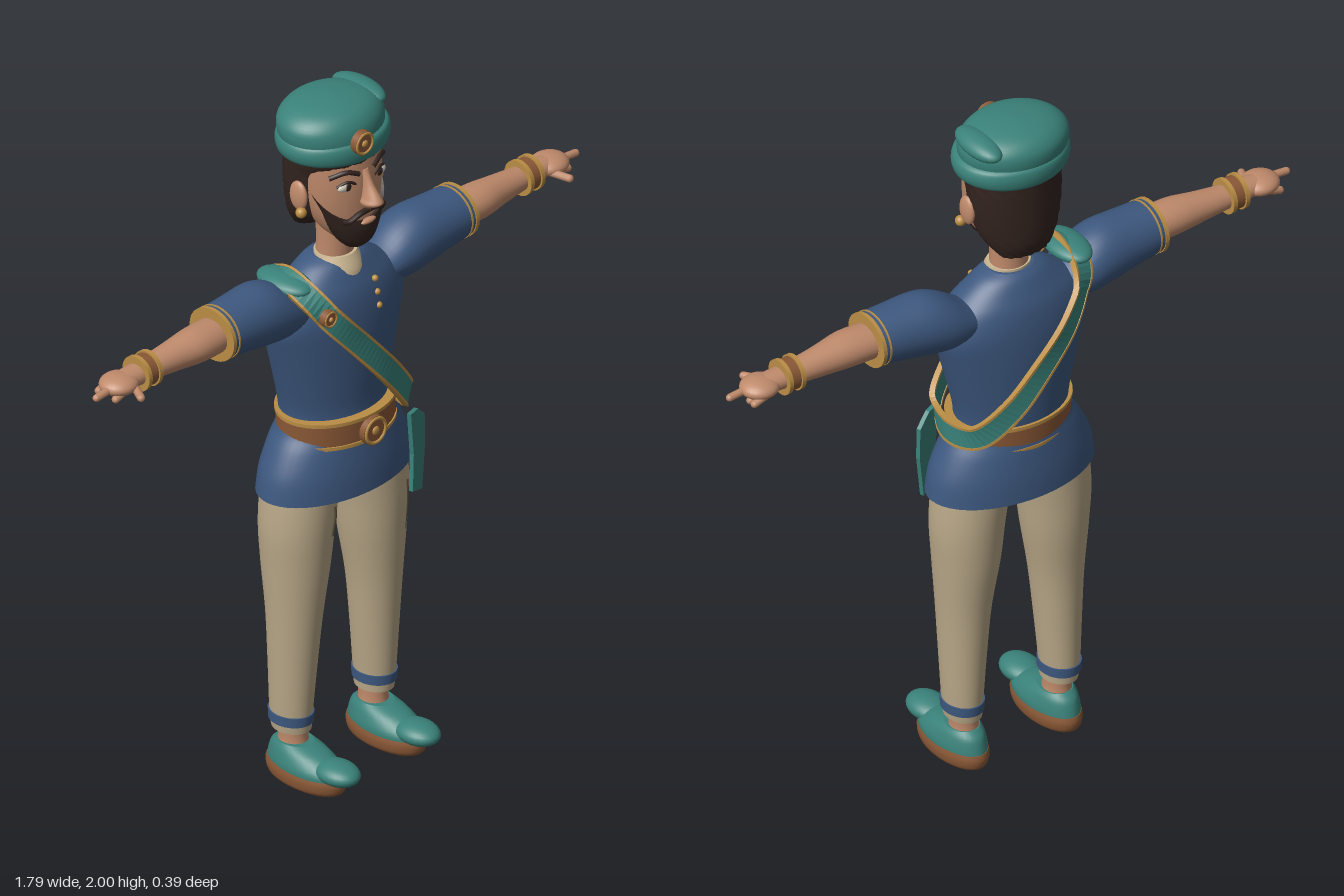
import * as THREE from 'three';

const mat = (name, color) => Object.assign(new THREE.MeshStandardMaterial({ color }), { name });
const M = {
  skin: mat('skin', 0xbf8a6b), teal: mat('teal cloth', 0x3a827a), blue: mat('blue cloth', 0x3d587f),
  tan: mat('trouser linen', 0xb9a888), brown: mat('brown leather', 0x8a5836), gold: mat('gold', 0xba8d45),
  hair: mat('dark hair', 0x33241f), cream: mat('collar cream', 0xcdb893), white: mat('eye white', 0xd8cfc0),
  seam: mat('dark seam', 0x5e553f),
};

// Smooth curve through four neighbouring values
const spline = (a, b, c, d, t) =>
  b + 0.5 * t * (c - a + t * (2 * a - 5 * b + 4 * c - d + t * (3 * (b - c) + d - a)));

// Elliptical cross-sections [y, cx, cz, rx, rz], listed upwards, skinned and capped
function loft(rows, { seg = 32, sub = 4, warp } = {}) {
  const fine = [];
  for (let i = 0; i < rows.length - 1; i++)
    for (let k = 0; k < sub; k++)
      fine.push(rows[i].map((v, j) => spline((rows[i - 1] || rows[i])[j], v, rows[i + 1][j],
        (rows[i + 2] || rows[i + 1])[j], k / sub)));
  fine.push(rows.at(-1));
  const pos = [], idx = [];
  const ring = ([y, cx, cz, rx, rz]) => {
    for (let i = 0; i < seg; i++) {
      const a = (i / seg) * Math.PI * 2;
      const p = new THREE.Vector3(cx + rx * Math.sin(a), y, cz + rz * Math.cos(a));
      if (warp) warp(p, a);
      pos.push(p.x, p.y, p.z);
    }
  };
  fine.forEach(ring);
  for (let j = 0; j < fine.length - 1; j++)
    for (let i = 0; i < seg; i++) {
      const a = j * seg + i, b = j * seg + (i + 1) % seg;
      idx.push(a, b, b + seg, a, b + seg, a + seg);
    }
  for (const [row, top] of [[fine[0], false], [fine.at(-1), true]]) {
    const s = pos.length / 3;
    ring(row);
    pos.push(row[1], row[0], row[2]);
    for (let i = 0; i < seg; i++) {
      const a = s + i, b = s + (i + 1) % seg;
      idx.push(...(top ? [a, b, s + seg] : [b, a, s + seg]));
    }
  }
  return finish(pos, idx);
}

function finish(pos, idx) {
  const g = new THREE.BufferGeometry();
  g.setAttribute('position', new THREE.Float32BufferAttribute(pos, 3));
  g.setIndex(idx);
  g.computeVertexNormals();
  return g;
}

// Loft running outward along x: rows [x, cy, cz, ry, rz]
const sideLoft = (rows, s, o) =>
  loft(rows.map(([x, cy, ...r]) => [x, -s * cy, ...r]), o).rotateZ(-s * Math.PI / 2);

const ball = (x, y, z, rx, ry = rx, rz = rx) =>
  new THREE.SphereGeometry(1, 24, 16).scale(rx, ry, rz).translate(x, y, z);

const tube = (pts, r) => new THREE.TubeGeometry(
  new THREE.CatmullRomCurve3(pts.map(p => new THREE.Vector3(...p))), 16, r, 8);

// Rounded finger between two points
function finger(a, b, r) {
  const A = new THREE.Vector3(...a), d = new THREE.Vector3(...b).sub(A);
  const q = new THREE.Quaternion().setFromUnitVectors(new THREE.Vector3(0, 1, 0), d.clone().normalize());
  return new THREE.CapsuleGeometry(r, d.length(), 5, 10).applyQuaternion(q).translate(...A.addScaledVector(d, 0.5));
}

// Closed flat band wrapped round the chest; off shifts it sideways
function band(pts, width, thick, off = 0) {
  const curve = new THREE.CatmullRomCurve3(pts.map(p => new THREE.Vector3(...p)), true);
  const n = 90, pos = [], idx = [];
  for (let i = 0; i < n; i++) {
    const p = curve.getPointAt(i / n), t = curve.getTangentAt(i / n);
    const out = new THREE.Vector3(p.x / 0.04, Math.max(0, p.y - 1.44) * 150, (p.z + 0.045) / 0.017);
    const w = new THREE.Vector3().crossVectors(out, t).normalize();
    out.crossVectors(t, w).normalize();
    for (const [u, v] of [[-1, -1], [1, -1], [1, 1], [-1, 1]]) {
      const q = p.clone().addScaledVector(w, off + u * width / 2).addScaledVector(out, v * thick / 2);
      pos.push(q.x, q.y, q.z);
    }
    for (let k = 0; k < 4; k++) {
      const a = i * 4 + k, b = i * 4 + (k + 1) % 4, c = ((i + 1) % n) * 4;
      idx.push(a, b, c + (k + 1) % 4, a, c + (k + 1) % 4, c + k);
    }
  }
  const g = finish(pos, idx).toNonIndexed();
  g.computeVertexNormals();
  return g;
}

export function createModel() {
  const root = new THREE.Group();
  root.name = 'figure';
  const add = (name, geo, m) => {
    const mesh = new THREE.Mesh(geo, m);
    mesh.name = name;
    root.add(mesh);
    return mesh;
  };
  // Round ornament facing forward
  const medallion = (name, x, y, z, r) => {
    add(name, new THREE.CylinderGeometry(r, r, 0.02, 24).rotateX(Math.PI / 2).translate(x, y, z), M.brown);
    add(name + 'Rim', new THREE.TorusGeometry(r * 0.85, r * 0.12, 8, 24).translate(x, y, z + 0.01), M.gold);
    add(name + 'Stud', ball(x, y, z + 0.01, r * 0.3, r * 0.3, 0.006), M.gold);
  };

  // Tunic and belt
  add('tunic', loft([
    [0.865, 0, -0.04, 0.25, 0.15], [0.93, 0, -0.04, 0.238, 0.145], [1, 0, -0.04, 0.205, 0.134],
    [1.05, 0, -0.04, 0.172, 0.124], [1.1, 0, -0.045, 0.165, 0.12], [1.2, 0, -0.045, 0.188, 0.124],
    [1.3, 0, -0.045, 0.215, 0.125], [1.38, 0, -0.045, 0.232, 0.12], [1.44, 0, -0.045, 0.2, 0.108],
    [1.48, 0, -0.045, 0.15, 0.09], [1.515, 0, -0.045, 0.1, 0.07], [1.53, 0, -0.045, 0.065, 0.052]], { seg: 48 }), M.blue);
  const hoop = (y0, y1, rx, rz) => loft([[y0, 0, -0.035, rx, rz], [y1, 0, -0.035, rx, rz]], { seg: 48, sub: 1 });
  add('belt', hoop(1.012, 1.088, 0.177, 0.133), M.brown);
  add('beltLowerTrim', hoop(1.01, 1.02, 0.181, 0.137), M.gold);
  add('beltUpperTrim', hoop(1.08, 1.09, 0.181, 0.137), M.gold);
  medallion('buckle', 0, 1.042, 0.103, 0.042);
  [[1.457, 0.056], [1.42, 0.064], [1.383, 0.071]].forEach(([y, z]) => add('button', ball(0.055, y, z, 0.009), M.gold));
  add('collar', loft([[1.47, 0, -0.022, 0.07, 0.066], [1.5, 0, -0.025, 0.068, 0.064], [1.537, 0, -0.035, 0.06, 0.055]]), M.cream);

  // Sash with gold edges, shoulder fold and hanging end
  const path = [[-0.19, 1.525, -0.04], [-0.185, 1.495, 0.05], [-0.14, 1.425, 0.092], [-0.05, 1.32, 0.108],
    [0.07, 1.18, 0.108], [0.155, 1.075, 0.075], [0.185, 1.055, -0.02], [0.16, 1.075, -0.12],
    [0.09, 1.16, -0.175], [0, 1.26, -0.185], [-0.1, 1.38, -0.178], [-0.17, 1.475, -0.13]];
  add('sash', band(path, 0.062, 0.012), M.teal);
  for (const s of [-1, 1]) add('sashEdge', band(path, 0.007, 0.016, s * 0.031), M.gold);
  add('shoulderFold', ball(-0.182, 1.508, -0.04, 0.054, 0.026, 0.09), M.teal);
  medallion('sashPin', -0.157, 1.44, 0.095, 0.024);
  const tail = new THREE.Shape([[-0.045, 0.13], [0, 0.125], [0.04, 0.09], [0.043, 0], [0.025, -0.13], [-0.033, -0.11], [-0.028, 0]]
    .map(p => new THREE.Vector2(...p)));
  const end = add('sashEnd', new THREE.ExtrudeGeometry(tail, { depth: 0.012, bevelEnabled: false }), M.teal);
  end.position.set(0.163, 0.91, 0.092);
  end.rotation.y = 0.35;

  for (const s of [-1, 1]) {
    // Arms
    add('sleeve', sideLoft([
      [0.1, 1.42, -0.045, 0.03, 0.05], [0.16, 1.425, -0.045, 0.052, 0.075], [0.22, 1.437, -0.045, 0.08, 0.087],
      [0.28, 1.45, -0.043, 0.088, 0.088], [0.36, 1.456, -0.04, 0.08, 0.083], [0.445, 1.46, -0.038, 0.072, 0.079]], s), M.blue);
    for (const [x, w] of [[0.428, 0.005], [0.443, 0.011]])
      add('sleeveTrim', sideLoft([[x, 1.46, -0.038, 0.075, 0.082], [x + w, 1.46, -0.038, 0.075, 0.082]], s, { sub: 1 }), M.gold);
    add('forearm', sideLoft([
      [0.43, 1.458, -0.038, 0.047, 0.055], [0.52, 1.459, -0.035, 0.048, 0.055], [0.6, 1.457, -0.038, 0.041, 0.044],
      [0.68, 1.456, -0.04, 0.033, 0.037], [0.78, 1.457, -0.04, 0.026, 0.034]], s), M.skin);
    for (const [x, w, r, m] of [[0.683, 0.046, 0.045, M.brown], [0.68, 0.012, 0.05, M.gold], [0.72, 0.012, 0.05, M.gold]])
      add('bracelet', sideLoft([[x, 1.457, -0.04, r, r], [x + w, 1.457, -0.04, r, r]], s, { sub: 1 }), m);
    add('palm', ball(s * 0.795, 1.456, -0.04, 0.055, 0.027, 0.052), M.skin);
    add('indexFinger', finger([s * 0.82, 1.457, -0.033], [s * 0.885, 1.451, -0.033], 0.0105), M.skin);
    for (const z of [-0.012, -0.055, -0.075])
      add('curledFinger', finger([s * 0.8, 1.447, z], [s * 0.835, 1.435, z], 0.011), M.skin);
    add('thumb', finger([s * 0.77, 1.45, -0.01], [s * 0.792, 1.442, 0.038], 0.011), M.skin);

    // Legs
    add('trouserLeg', loft([
      [0.15, s * 0.153, -0.045, 0.048, 0.058], [0.2, s * 0.154, -0.045, 0.052, 0.062], [0.35, s * 0.151, -0.042, 0.062, 0.07],
      [0.5, s * 0.147, -0.04, 0.073, 0.08], [0.65, s * 0.14, -0.042, 0.09, 0.096], [0.77, s * 0.136, -0.042, 0.1, 0.104],
      [0.9, s * 0.12, -0.042, 0.105, 0.107]]), M.tan);
    add('trouserCuff', loft([[0.174, s * 0.154, -0.045, 0.055, 0.065], [0.202, s * 0.154, -0.045, 0.056, 0.066]], { sub: 1 }), M.blue);
    add('ankle', loft([[0.07, s * 0.148, -0.043, 0.045, 0.05], [0.12, s * 0.148, -0.043, 0.038, 0.042], [0.17, s * 0.15, -0.043, 0.04, 0.044]]), M.skin);

    // Shoes
    add('sole', loft([[0, s * 0.148, 0.005, 0.052, 0.112], [0.012, s * 0.148, 0.005, 0.065, 0.128],
      [0.035, s * 0.148, 0.005, 0.069, 0.134], [0.053, s * 0.148, 0.005, 0.066, 0.13]]), M.brown);
    add('shoe', loft([[0.04, s * 0.148, 0.005, 0.066, 0.13], [0.065, s * 0.148, 0.005, 0.066, 0.125],
      [0.095, s * 0.148, -0.015, 0.056, 0.095], [0.113, s * 0.148, -0.035, 0.044, 0.055]]), M.teal);
    add('shoeToe', ball(s * 0.148, 0.072, 0.12, 0.052, 0.031, 0.069), M.teal);

    // Face details
    add('ear', ball(s * 0.133, 1.747, -0.038, 0.014, 0.043, 0.03), M.skin);
    add('earring', ball(s * 0.142, 1.706, -0.02, 0.015), M.gold);
    add('eye', ball(s * 0.06, 1.785, 0.061, 0.027, 0.014, 0.012), M.white);
    add('iris', ball(s * 0.058, 1.785, 0.069, 0.011, 0.012, 0.006), M.hair);
    add('eyelid', tube([[s * 0.034, 1.787, 0.073], [s * 0.06, 1.801, 0.07], [s * 0.087, 1.788, 0.055]], 0.004), M.hair);
    add('eyebrow', tube([[s * 0.025, 1.815, 0.077], [s * 0.06, 1.828, 0.066], [s * 0.1, 1.815, 0.04]], 0.007), M.hair);
    add('moustache', tube([[0, 1.703, 0.088], [s * 0.03, 1.7, 0.086], [s * 0.06, 1.683, 0.075], [s * 0.075, 1.685, 0.066]], 0.008), M.hair);
  }
  // Trouser creases
  add('crease', tube([[-0.095, 0.83, 0.056], [-0.093, 0.8, 0.056], [-0.1, 0.74, 0.051]], 0.005), M.seam);
  add('crease', tube([[0.175, 0.8, 0.053], [0.182, 0.72, 0.046], [0.18, 0.64, 0.038]], 0.005), M.seam);

  // Head, beard and hair
  add('neck', loft([[1.47, 0, -0.04, 0.056, 0.05], [1.56, 0, -0.036, 0.052, 0.049], [1.68, 0, -0.035, 0.055, 0.052]]), M.skin);
  add('face', loft([[1.6, 0, 0.02, 0.04, 0.04], [1.64, 0, 0, 0.078, 0.076], [1.7, 0, -0.01, 0.107, 0.09],
    [1.78, 0, -0.02, 0.121, 0.1], [1.87, 0, -0.03, 0.125, 0.1]]), M.skin);
  add('nose', loft([[1.713, 0, 0.085, 0.017, 0.016], [1.73, 0, 0.096, 0.027, 0.036], [1.745, 0, 0.096, 0.021, 0.034],
    [1.78, 0, 0.083, 0.013, 0.02], [1.82, 0, 0.07, 0.012, 0.01]], { seg: 20 }), M.skin);
  add('beard', loft([[1.582, 0, 0.035, 0.03, 0.028], [1.6, 0, 0.028, 0.062, 0.052], [1.63, 0, 0.012, 0.09, 0.076],
    [1.655, 0, 0.004, 0.106, 0.085], [1.672, 0, -0.002, 0.118, 0.088]],
  { warp: (p, a) => { p.y += (p.y - 1.582) * 0.9 * (1 - Math.cos(a)); } }), M.hair);
  add('lips', ball(0, 1.668, 0.086, 0.026, 0.008, 0.01), M.skin);
  add('hair', loft([[1.615, 0, -0.105, 0.075, 0.042], [1.65, 0, -0.085, 0.1, 0.075], [1.69, 0, -0.07, 0.118, 0.094],
    [1.75, 0, -0.062, 0.13, 0.103], [1.81, 0, -0.057, 0.134, 0.108], [1.845, 0, -0.045, 0.137, 0.12], [1.88, 0, -0.045, 0.138, 0.122]],
  { seg: 64, warp: (p, a) => { p.x *= 1 + 0.012 * Math.sin(a * 16 + p.y * 150); p.z -= 0.002 * Math.sin(a * 16 + p.y * 150); } }), M.hair);

  // Cap
  add('capBand', loft([[1.85, 0, -0.045, 0.142, 0.125], [1.86, 0, -0.045, 0.158, 0.134], [1.885, 0, -0.045, 0.165, 0.138],
    [1.908, 0, -0.045, 0.158, 0.134], [1.916, 0, -0.045, 0.14, 0.12]], { seg: 48 }), M.teal);
  add('capCrown', loft([[1.89, -0.005, -0.045, 0.148, 0.125], [1.925, -0.005, -0.048, 0.156, 0.128], [1.955, -0.005, -0.05, 0.15, 0.122],
    [1.98, -0.005, -0.05, 0.12, 0.1], [1.994, -0.005, -0.05, 0.07, 0.06], [2, -0.005, -0.05, 0.005, 0.005]], { seg: 48 }), M.teal);
  add('capPuff', ball(0.112, 1.962, -0.06, 0.043, 0.029, 0.09), M.teal);
  medallion('capBrooch', -0.025, 1.915, 0.088, 0.034);
  return root;
}
